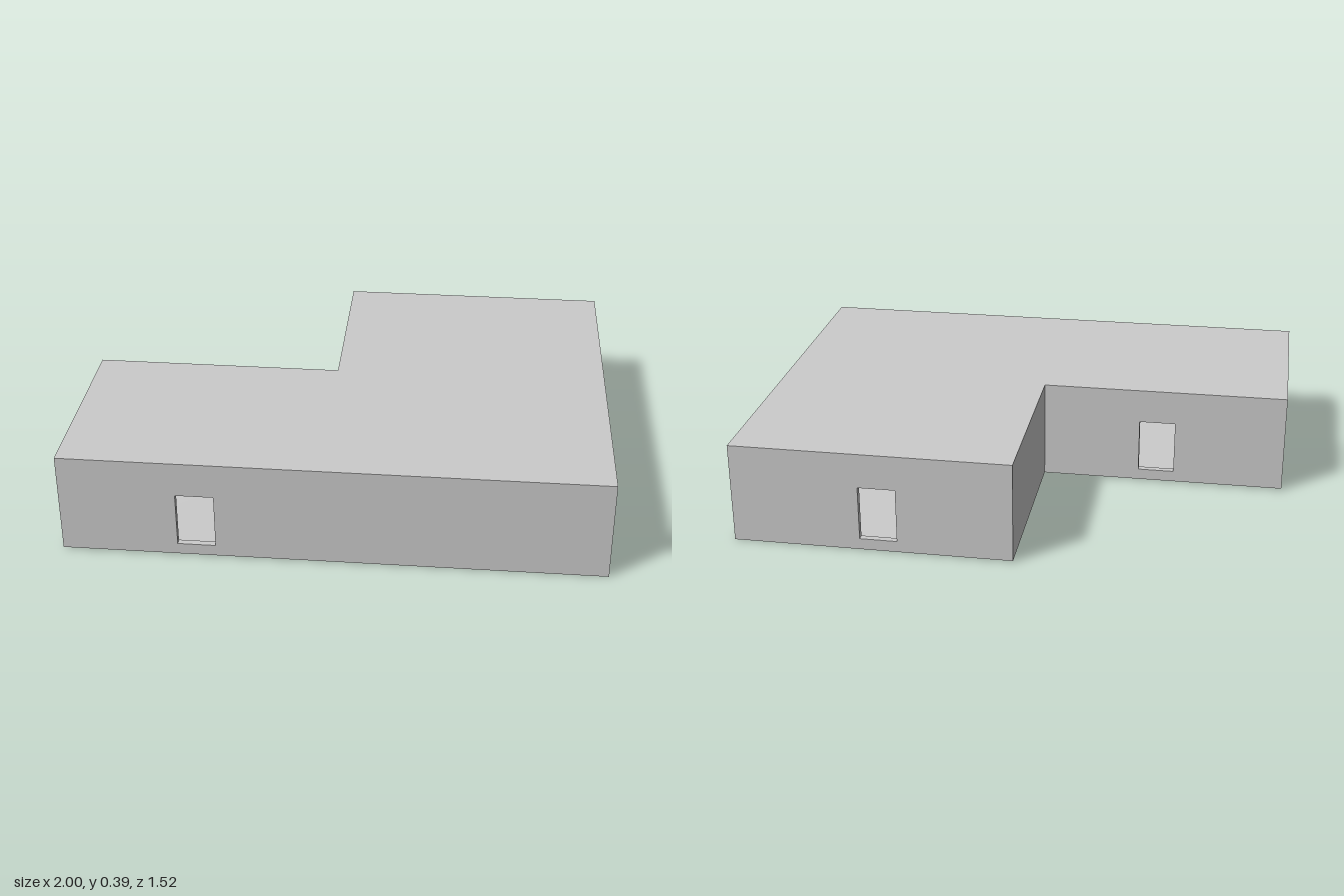
import * as THREE from 'three';

const HEIGHT = 0.383, T = 0.025;             // overall height, wall thickness
const SILL = 0.043, HEAD = 0.25;             // window bottom and top

// L-shaped plan as [x, z], starting at the front and going round
const outer = [[-1, 0.755], [1, 0.755], [1, -0.762], [-0.05, -0.762], [-0.05, -0.013], [-1, -0.013]];
const inner = [[-1 + T, 0.755 - T], [1 - T, 0.755 - T], [1 - T, -0.762 + T],
  [-0.05 + T, -0.762 + T], [-0.05 + T, -0.013 + T], [-1 + T, -0.013 + T]];

// Window x range for each wall, by wall index
const windows = { 0: [-0.57, -0.43], 2: [0.38, 0.52], 4: [-0.57, -0.43] };

const grey = new THREE.MeshStandardMaterial({ color: 0xcccccc, flatShading: true });
const reveal = new THREE.MeshStandardMaterial({ color: 0xcccccc, flatShading: true, side: THREE.DoubleSide });

// Slight skew of the whole building
const skew = new THREE.Matrix4().set(
  1, 0, 0, 0,
  -0.003, 1, 0, 0.003,
  0.005, 0, 1, 0,
  0, 0, 0, 1);

function addMesh(group, name, geometry, material = grey) {
  geometry.applyMatrix4(skew);
  geometry.computeVertexNormals();
  const mesh = new THREE.Mesh(geometry, material);
  mesh.name = name;
  group.add(mesh);
}

// Vertical panel from a to b, facing right of the direction of travel, with an optional window
function wallPanel(a, b, y0, y1, win) {
  const dir = new THREE.Vector3(b[0] - a[0], 0, b[1] - a[1]);
  const length = dir.length();
  dir.normalize();
  const rect = (u0, u1, v0, v1) => [[u0, v0], [u1, v0], [u1, v1], [u0, v1]].map(p => new THREE.Vector2(...p));
  const shape = new THREE.Shape(rect(0, length, y0, y1));
  if (win) {
    const u = win.map(x => (x - a[0]) * dir.x).sort((p, q) => p - q);
    shape.holes.push(new THREE.Path(rect(u[0], u[1], SILL, HEAD)));
  }
  const up = new THREE.Vector3(0, 1, 0);
  const m = new THREE.Matrix4().makeBasis(dir, up, dir.clone().cross(up)).setPosition(a[0], 0, a[1]);
  return new THREE.ShapeGeometry(shape).applyMatrix4(m);
}

// Horizontal L-shaped panel facing up or down
function slab(plan, y, facesUp) {
  const s = facesUp ? -1 : 1;
  const shape = new THREE.Shape(plan.map(([x, z]) => new THREE.Vector2(x, s * z)));
  return new THREE.ShapeGeometry(shape).rotateX(s * Math.PI / 2).translate(0, y, 0);
}

export function createModel() {
  const group = new THREE.Group();
  group.name = 'building';

  // Roof, base and the inside floor and ceiling
  addMesh(group, 'roof', slab(outer, HEIGHT, true));
  addMesh(group, 'base', slab(outer, 0, false));
  addMesh(group, 'floor', slab(inner, T, true));
  addMesh(group, 'ceiling', slab(inner, HEIGHT - T, false));

  for (let i = 0; i < outer.length; i++) {
    const j = (i + 1) % outer.length, win = windows[i];

    // Outer and inner wall faces
    addMesh(group, 'outerWall' + i, wallPanel(outer[i], outer[j], 0, HEIGHT, win));
    addMesh(group, 'innerWall' + i, wallPanel(inner[j], inner[i], T, HEIGHT - T, win));

    // Window reveal: a box without its front and back
    if (win) {
      const box = new THREE.BoxGeometry(win[1] - win[0], HEAD - SILL, T);
      box.setIndex(Array.from(box.index.array).slice(0, 24));
      box.clearGroups();
      box.translate((win[0] + win[1]) / 2, (SILL + HEAD) / 2, (outer[i][1] + inner[i][1]) / 2);
      addMesh(group, 'windowReveal' + i, box, reveal);
    }
  }
  return group;
}
